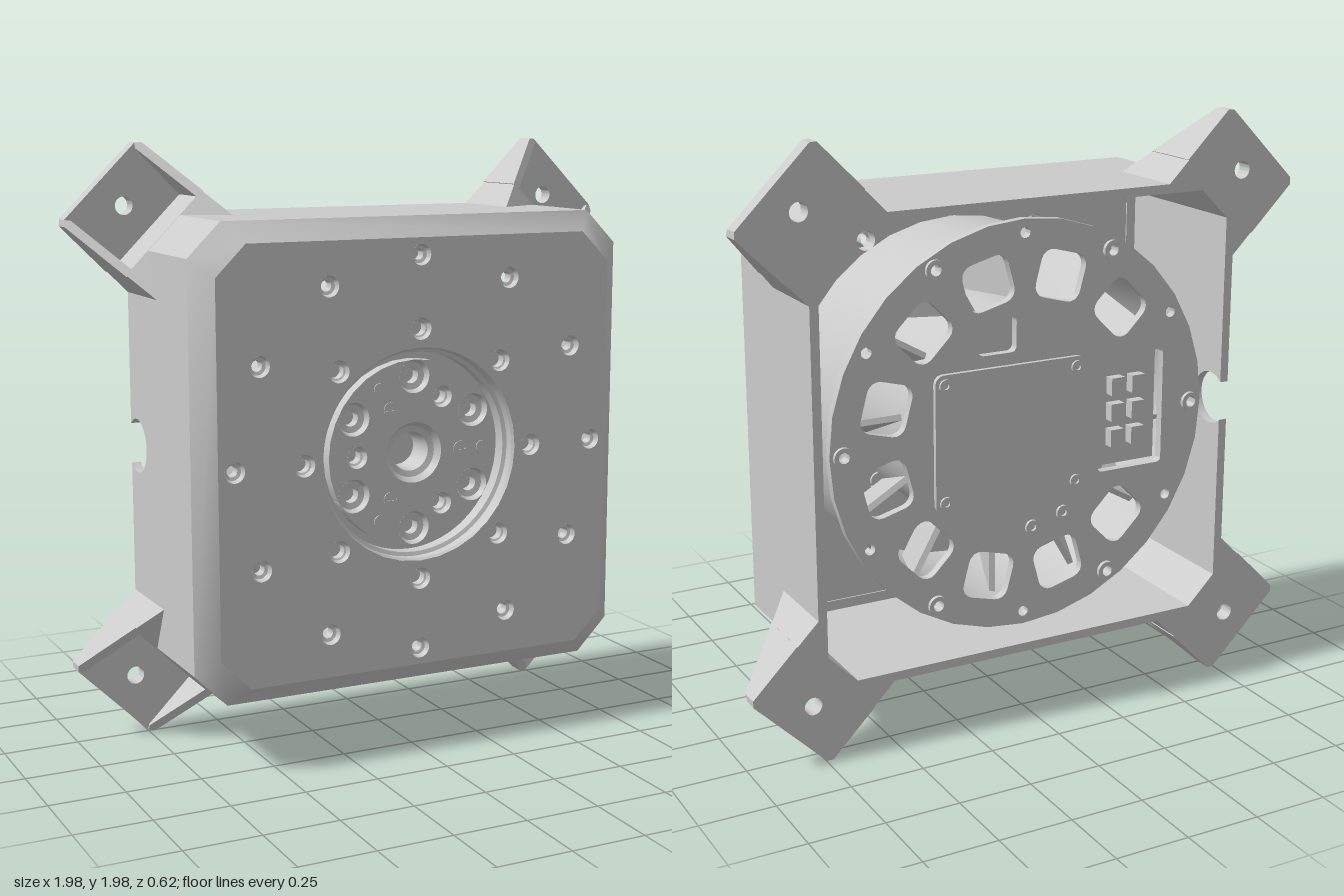
import * as THREE from 'three';
import { toCreasedNormals } from 'three/addons/utils/BufferGeometryUtils.js';

const mat = new THREE.MeshStandardMaterial({ color: 0xcccccc, side: THREE.DoubleSide });
const TAU = Math.PI * 2;

function add(parent, name, geo, x = 0, y = 0, z = 0) {
  const m = new THREE.Mesh(toCreasedNormals(geo, 0.6), mat);
  m.name = name;
  m.position.set(x, y, z);
  parent.add(m);
  return m;
}
const poly = (pts) => new THREE.Shape(pts.map((p) => new THREE.Vector2(p[0], p[1])));
const circle = (r, x = 0, y = 0) => new THREE.Shape().absarc(x, y, r, 0, TAU, false);
const polar = (r, deg) => [r * Math.cos(deg * Math.PI / 180), r * Math.sin(deg * Math.PI / 180)];
const steps = (n, start = 0) => Array.from({ length: n }, (_, i) => start + i * 360 / n);
const octagon = (h, c) => [[h, -h + c], [h, h - c], [h - c, h], [-h + c, h], [-h, h - c], [-h, -h + c], [-h + c, -h], [h - c, -h]];

// flat shape extruded from z0 to z1
function slab(shape, z0, z1, holes = []) {
  shape.holes.push(...holes);
  return new THREE.ExtrudeGeometry(shape, { depth: z1 - z0, bevelEnabled: false, curveSegments: 16 }).translate(0, 0, z0);
}
// profile of [radius, z] turned about the z axis
function turned(profile, seg = 64) {
  return new THREE.LatheGeometry(profile.map((p) => new THREE.Vector2(p[0], p[1])), seg).rotateX(Math.PI / 2);
}
// rounded rectangle centred on x, y and turned by an angle
function roundRect(w, h, r, x = 0, y = 0, rot = 0) {
  const pts = [];
  for (const [i, [sx, sy]] of [[1, 1], [-1, 1], [-1, -1], [1, -1]].entries()) {
    for (let k = 0; k <= 4; k++) {
      const a = (i + k / 4) * Math.PI / 2;
      const px = sx * (w / 2 - r) + r * Math.cos(a), py = sy * (h / 2 - r) + r * Math.sin(a);
      pts.push([x + px * Math.cos(rot) - py * Math.sin(rot), y + px * Math.sin(rot) + py * Math.cos(rot)]);
    }
  }
  return poly(pts);
}
// lining of a stepped screw hole sunk from z downwards
function screwHole(parent, x, y, z, r1, r2, depth, blind) {
  const p = [[r1, 0], [r1 * 0.85, -depth * 0.35], [r2, -depth * 0.4], [r2, -depth]];
  if (blind) p.push([0.0001, -depth]);
  add(parent, 'screwHole', turned(p, 20), x, y, z);
}

function buildHousing(root) {
  const g = new THREE.Group();
  g.name = 'housing';
  root.add(g);
  // three walls and four corners in one C-shaped run
  const out = octagon(0.765, 0.11), inn = octagon(0.735, 0.1);
  const run = (o) => [o[5], o[6], o[7], o[0], o[1], o[2], o[3], o[4]];
  add(g, 'walls', slab(poly([...run(out), ...run(inn).reverse()]), -0.31, 0.245));
  // remaining wall with the round cable notch
  const w = new THREE.Shape();
  w.moveTo(-0.31, -0.655);
  w.lineTo(0.245, -0.655);
  w.lineTo(0.245, 0.655);
  w.lineTo(-0.31, 0.655);
  w.lineTo(-0.31, 0.067);
  w.absarc(-0.25, 0, 0.09, Math.PI - 0.841, -(Math.PI - 0.841), true);
  w.lineTo(-0.31, -0.655);
  add(g, 'notchedWall', slab(w, 0, 0.03).rotateY(-Math.PI / 2), -0.735);
  // chamfered frame around the front: outer edge drawn in at the front
  const s = 0.915, inner = out.map(([x, y]) => [x * s, y * s]);
  const frame = slab(poly(out), 0.245, 0.31, [poly(inner)]);
  const p = frame.attributes.position;
  for (let i = 0; i < p.count; i++) {
    const x = p.getX(i), y = p.getY(i);
    const edge = Math.max(Math.abs(x), Math.abs(y), (Math.abs(x) + Math.abs(y)) * 0.765 / 1.42);
    if (edge > 0.73 && p.getZ(i) > 0.3) p.setXY(i, x * s, y * s);
  }
  frame.computeVertexNormals();
  add(g, 'frontChamfer', frame);
  // front plate with bolt circles
  const outer = steps(12).map((a) => polar(0.645, a)), ring = steps(8).map((a) => polar(0.41, a));
  add(g, 'frontPlate', slab(poly(inner), 0.25, 0.31,
    [circle(0.35), ...outer.map(([x, y]) => circle(0.034, x, y)), ...ring.map(([x, y]) => circle(0.036, x, y))]));
  outer.forEach(([x, y]) => screwHole(g, x, y, 0.31, 0.034, 0.018, 0.06, false));
  ring.forEach(([x, y]) => screwHole(g, x, y, 0.31, 0.036, 0.025, 0.05, true));
}

// corner mounting ear, built along +x then turned to its corner
function buildEar(root, deg) {
  const g = new THREE.Group();
  g.name = 'mountingEar';
  g.rotation.z = deg * Math.PI / 180;
  root.add(g);
  const wedge = (name, pts) => {
    const geo = slab(poly(pts), -0.31, -0.2), p = geo.attributes.position;
    for (let i = 0; i < p.count; i++) if (p.getZ(i) > -0.25) p.setZ(i, -0.255 + (1.23 - p.getX(i)) * 0.69);
    geo.computeVertexNormals();
    add(g, name, geo);
  };
  wedge('earRoot', [[0.875, -0.184], [1.005, -0.184], [1.005, 0.184], [0.875, 0.184], [0.985, 0.075], [0.985, -0.075]]);
  for (const m of [-1, 1]) wedge('earGusset', [[1, m * 0.158], [1.215, m * 0.158], [1.23, m * 0.17], [1.215, m * 0.187], [1, m * 0.187]]);
  add(g, 'earPad', slab(poly([[1, -0.184], [1.215, -0.184], [1.23, -0.17], [1.23, 0.17], [1.215, 0.184], [1, 0.184]]),
    -0.31, -0.255, [circle(0.03, 1.117, 0)]));
}

function buildRotor(root) {
  const g = new THREE.Group();
  g.name = 'rotor';
  root.add(g);
  add(g, 'boreRing', turned([[0.35, 0.31], [0.343, 0.3], [0.343, 0.27], [0.33, 0.265], [0.33, 0.22], [0.3, 0.22]]));
  const big = steps(6, 30).map((a) => polar(0.25, a)), mid = steps(3, 60).map((a) => polar(0.205, a));
  add(g, 'rotorFace', slab(circle(0.305), 0.2, 0.262,
    [circle(0.1), ...big.map(([x, y]) => circle(0.055, x, y)), ...mid.map(([x, y]) => circle(0.036, x, y))]));
  big.forEach(([x, y]) => screwHole(g, x, y, 0.262, 0.055, 0.026, 0.06, true));
  mid.forEach(([x, y]) => screwHole(g, x, y, 0.262, 0.036, 0.024, 0.06, true));
  add(g, 'centreBore', turned([[0.1, 0.262], [0.085, 0.24], [0.065, 0.235], [0.06, 0.14], [0.0001, 0.14]], 32));
  for (const a of steps(3)) {
    const [px, py] = polar(0.17, a), [qx, qy] = polar(0.25, a);
    add(g, 'slottedScrew', slab(circle(0.025), 0.25, 0.265, [roundRect(0.04, 0.007, 0.002)]), px, py);
    add(g, 'dowelPin', slab(circle(0.02), 0.25, 0.266), qx, qy);
  }
}

function buildDrive(root) {
  const g = new THREE.Group();
  g.name = 'drive';
  root.add(g);
  // slotted back plate
  const holes = steps(12, 15).filter((a) => a !== 165 && a !== 195).map((a) => {
    const [x, y] = polar(0.51, a);
    return roundRect(0.16, 0.17, 0.04, x, y, a * Math.PI / 180);
  });
  holes.push(roundRect(0.25, 0.4, 0.015, -0.41, 0), roundRect(0.14, 0.12, 0.02, 0.1, 0.32));
  const rim = steps(12).map((a) => polar(0.645, a));
  holes.push(...rim.map(([x, y]) => circle(0.018, x, y)));
  add(g, 'backPlate', slab(circle(0.69), -0.255, -0.225, holes));
  rim.forEach(([x, y], i) => {
    if (i % 2 === 0) add(g, 'rimBush', slab(circle(0.033), -0.268, -0.255, [circle(0.018)]), x, y);
  });
  // drum, inner core and slanted vanes seen through the slots
  add(g, 'drum', slab(circle(0.615), -0.225, 0.25, [circle(0.6)]));
  add(g, 'core', turned([[0.0001, -0.19], [0.4, -0.19], [0.4, 0.19], [0.3, 0.2]]));
  for (const a of steps(12)) {
    const arm = new THREE.Group();
    arm.name = 'vane';
    arm.rotation.z = a * Math.PI / 180;
    g.add(arm);
    add(arm, 'vaneBlade', new THREE.BoxGeometry(0.2, 0.02, 0.36), 0.5, 0, 0).rotation.x = 0.4;
  }
  // cover box with its screws
  add(g, 'cover', slab(roundRect(0.55, 0.46, 0.03, 0.07, 0), -0.3, -0.285));
  add(g, 'coverBase', slab(roundRect(0.5, 0.41, 0.02, 0.07, 0), -0.285, -0.255));
  for (const sx of [-1, 1]) for (const sy of [-1, 1]) {
    add(g, 'coverScrew', slab(circle(0.022), -0.308, -0.3, [circle(0.01)]), 0.07 + sx * 0.24, sy * 0.195);
  }
  // connector board in the side window
  add(g, 'connectorBoard', new THREE.BoxGeometry(0.23, 0.38, 0.02), -0.41, 0, -0.21);
  for (const x of [-0.36, -0.44]) for (const y of [-0.09, 0, 0.09]) {
    add(g, 'connector', new THREE.BoxGeometry(0.05, 0.06, 0.04), x, y, -0.235);
  }
  for (const a of [245, 265]) {
    const [x, y] = polar(0.35, a);
    add(g, 'plateScrew', slab(circle(0.025), -0.265, -0.255, [circle(0.012)]), x, y);
  }
}

export function createModel() {
  const model = new THREE.Group();
  model.name = 'actuatorHousing';
  const body = new THREE.Group();
  body.name = 'body';
  body.position.y = 1;
  model.add(body);
  buildHousing(body);
  for (const deg of [45, 135, 225, 315]) buildEar(body, deg);
  buildRotor(body);
  buildDrive(body);
  return model;
}
